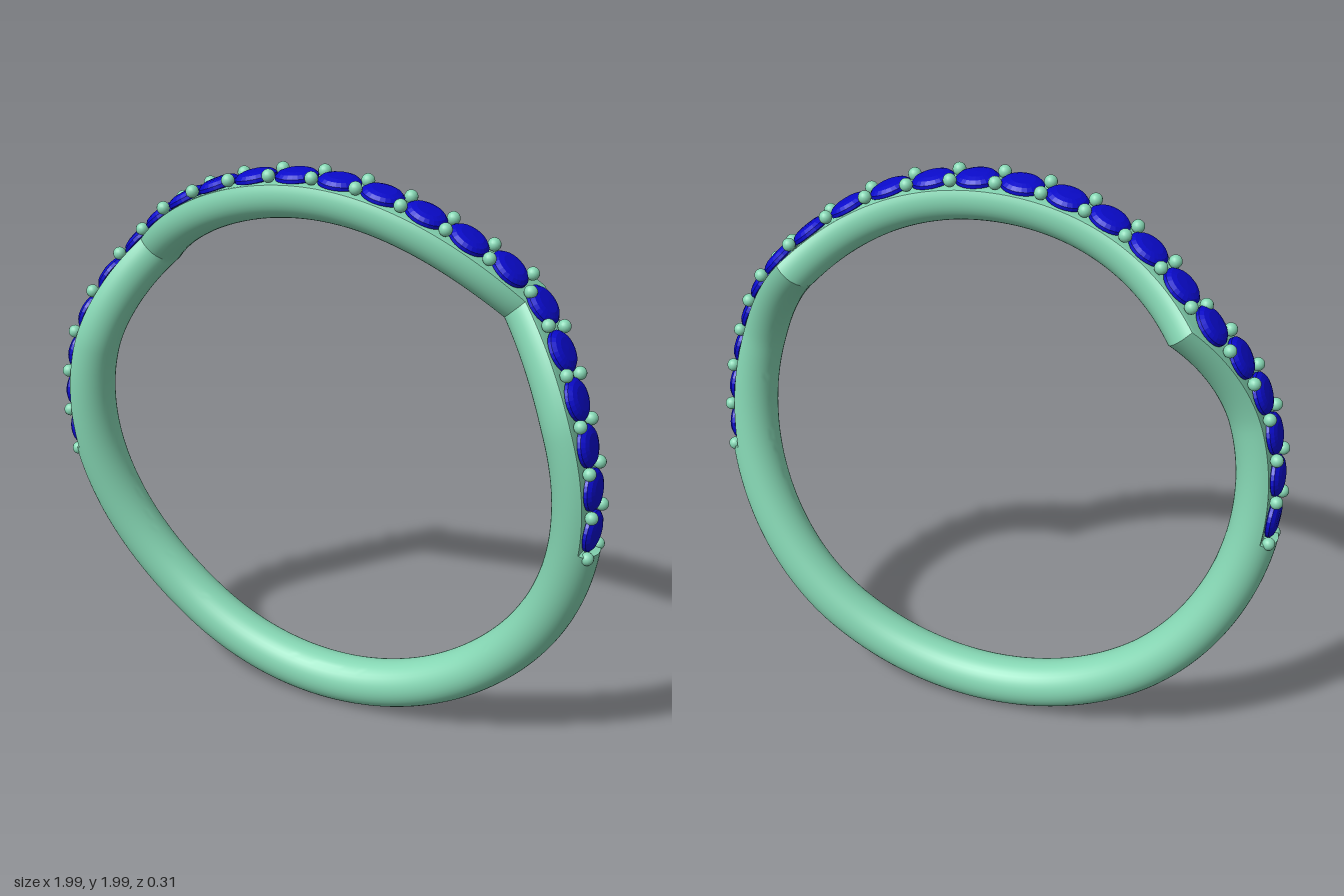
import * as THREE from 'three';
import { toCreasedNormals } from 'three/addons/utils/BufferGeometryUtils.js';

const MID = 0.91, TUBE = 0.085, SEAT = 0.04; // band centre radius, tube radius, height of the flat seat
const KINK = 47, SEAT_END = 98.5;            // degrees from the top
const rad = THREE.MathUtils.degToRad;

// sideways sweep of the band at an angle from the top
function sweep(deg) {
  const d = Math.abs(deg);
  if (d <= KINK) return 0.065 - 0.127 * Math.pow(d / KINK, 2.9);
  if (d <= 73) return 0.06 - 0.122 * Math.pow((73 - d) / 26, 1.6);
  return 0.06 - 0.115 * THREE.MathUtils.smoothstep(d, 73, 145);
}

// slope of the sweep along the band
function slope(deg, h = 0.5) {
  return (sweep(deg + h) - sweep(deg - h)) / (2 * rad(h) * MID);
}

// point at a radius and angle, with an offset along z
function place(deg, r, z) {
  return new THREE.Vector3(Math.sin(rad(deg)) * r, 1 + Math.cos(rad(deg)) * r, z);
}

// round band, cut flat on the outside where the stones sit
function bandGeometry() {
  const half = [];
  for (let d = 0; d < 180; d += 1.5) half.push(d);
  half.push(KINK, SEAT_END, SEAT_END + 0.3);
  const angles = [...half.map(d => -d).filter(d => d < 0), ...half, 180].sort((a, b) => a - b);
  angles.unshift(-180);
  const sides = 40, pos = [], index = [];
  angles.forEach((deg, i) => {
    const top = Math.abs(deg) <= SEAT_END ? SEAT : TUBE;
    const d = Math.abs(deg);
    const s = slope(Math.abs(d - KINK) < 0.6 ? KINK - 0.6 : d);
    const wide = TUBE * Math.sqrt(1 + s * s);
    for (let j = 0; j < sides; j++) {
      const a = j / sides * Math.PI * 2;
      const p = place(deg, MID + Math.min(TUBE * Math.cos(a), top), sweep(deg) + wide * Math.sin(a));
      pos.push(p.x, p.y, p.z);
      if (i === angles.length - 1) continue;
      const k = i * sides + j, n = i * sides + (j + 1) % sides;
      index.push(k, n, k + sides, n, n + sides, k + sides);
    }
  });
  const g = new THREE.BufferGeometry();
  g.setAttribute('position', new THREE.Float32BufferAttribute(pos, 3));
  g.setIndex(index);
  return toCreasedNormals(g, rad(35));
}

export function createModel() {
  const group = new THREE.Group();
  const metal = new THREE.MeshStandardMaterial({ color: 0x85d6b3 });
  const gem = new THREE.MeshStandardMaterial({ color: 0x0a0acc, flatShading: true });

  const band = new THREE.Mesh(bandGeometry(), metal);
  band.name = 'band';
  group.add(band);

  // round cut stones: girdle, crown and table
  const stones = new THREE.Group();
  stones.name = 'stones';
  const profile = [[0, -0.03], [0.07, -0.006], [0.07, 0.006], [0.058, 0.017], [0.04, 0.023], [0, 0.025]];
  const stoneGeo = new THREE.LatheGeometry(profile.map(p => new THREE.Vector2(...p)), 24);
  for (let deg = -94.5; deg < 95; deg += 9) {
    const stone = new THREE.Mesh(stoneGeo, gem);
    stone.name = 'stone';
    stone.position.copy(place(deg, 0.959, Math.max(sweep(deg), -0.038)));
    stone.rotation.z = -rad(deg);
    stones.add(stone);
  }
  group.add(stones);

  // pairs of bead prongs between the stones
  const prongs = new THREE.Group();
  prongs.name = 'prongs';
  const beadGeo = new THREE.SphereGeometry(0.022, 16, 12);
  for (let deg = -99; deg < 100; deg += 9) {
    const tilt = Math.atan(slope(deg));
    for (const side of [-1, 1]) {
      const prong = new THREE.Mesh(beadGeo, metal);
      prong.name = 'prong';
      const shift = -side * 0.048 * Math.sin(tilt) / 0.97;
      prong.position.copy(place(deg + THREE.MathUtils.radToDeg(shift), 0.972,
        Math.max(sweep(deg), -0.045) + side * 0.048 * Math.cos(tilt)));
      prongs.add(prong);
    }
  }
  group.add(prongs);
  return group;
}
